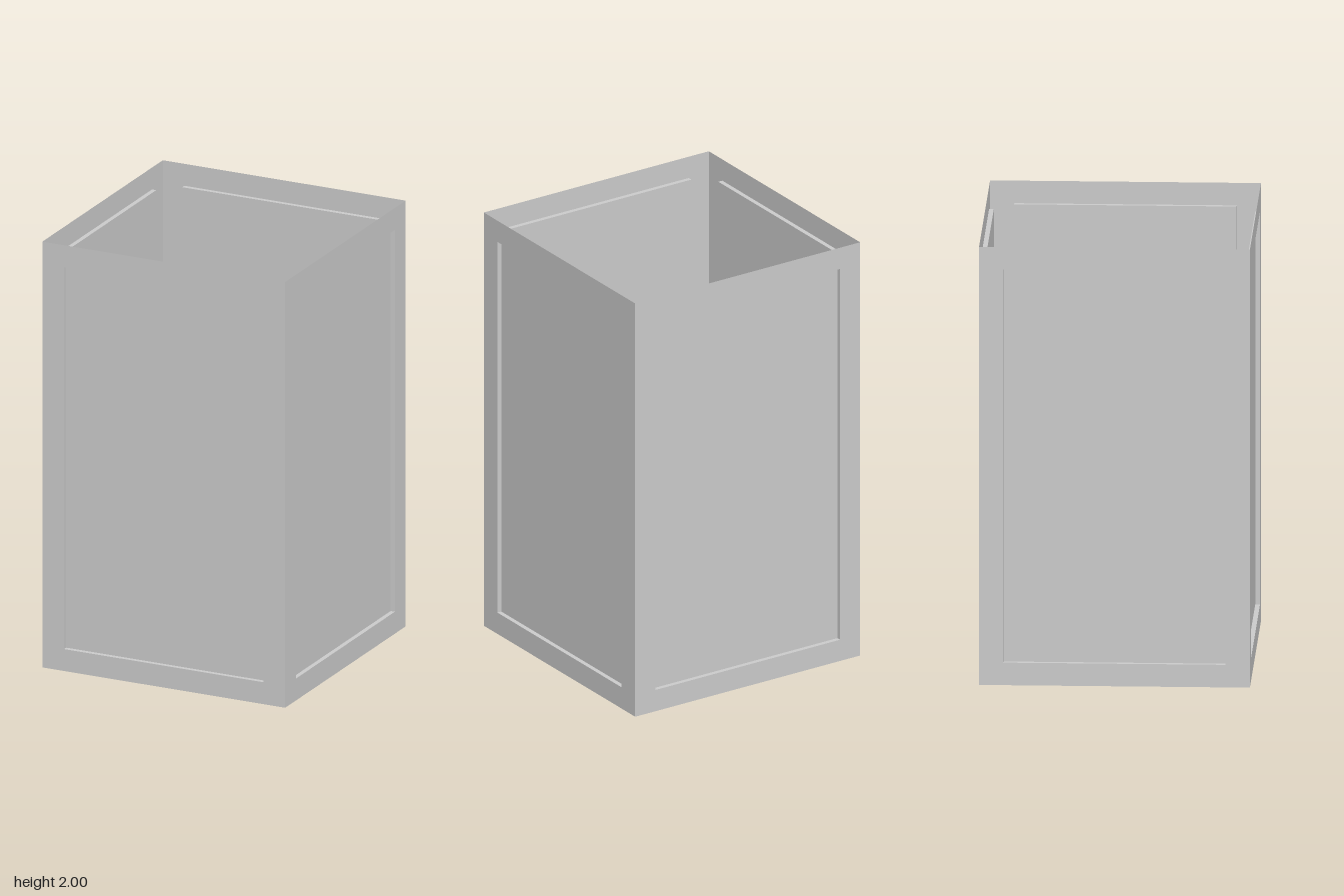
import * as THREE from 'three';

const HALF = 0.6, HEIGHT = 2;           // outer shell
const PW = 0.493, PH = 0.897;           // half size of the recessed panel
const DEPTH = 0.021;                    // depth of the recess

const material = new THREE.MeshStandardMaterial({
  color: 0xcccccc, side: THREE.DoubleSide, flatShading: true,
});

function rectangle(PathType, w, h) {
  return new PathType([[-w, -h], [w, -h], [w, h], [-w, h]].map(([x, y]) => new THREE.Vector2(x, y)));
}

function addMesh(parent, name, geometry) {
  const mesh = new THREE.Mesh(geometry, material);
  mesh.name = name;
  parent.add(mesh);
  return mesh;
}

// One thin wall facing +z: flat frame, sunken panel and the reveal joining them
function createWall(name) {
  const wall = new THREE.Group();
  wall.name = name;

  const frame = rectangle(THREE.Shape, HALF, HEIGHT / 2);
  frame.holes.push(rectangle(THREE.Path, PW, PH));
  addMesh(wall, 'frame', new THREE.ShapeGeometry(frame)).position.z = HALF;

  addMesh(wall, 'recessedPanel', new THREE.PlaneGeometry(PW * 2, PH * 2)).position.z = HALF - DEPTH;

  // Narrow strips around the recess, facing its middle
  const z = HALF - DEPTH / 2;
  for (const s of [-1, 1]) {
    const side = addMesh(wall, s < 0 ? 'rightReveal' : 'leftReveal', new THREE.PlaneGeometry(DEPTH, PH * 2));
    side.rotation.y = -s * Math.PI / 2;
    side.position.set(s * PW, 0, z);
    const end = addMesh(wall, s < 0 ? 'bottomReveal' : 'topReveal', new THREE.PlaneGeometry(PW * 2, DEPTH));
    end.rotation.x = s * Math.PI / 2;
    end.position.set(0, s * PH, z);
  }
  return wall;
}

export function createModel() {
  const model = new THREE.Group();
  model.name = 'openPanelledBox';
  // Four equal walls around an open top and bottom
  ['frontWall', 'leftWall', 'backWall', 'rightWall'].forEach((name, i) => {
    const wall = createWall(name);
    wall.rotation.y = i * Math.PI / 2;
    wall.position.y = HEIGHT / 2;
    model.add(wall);
  });
  return model;
}
